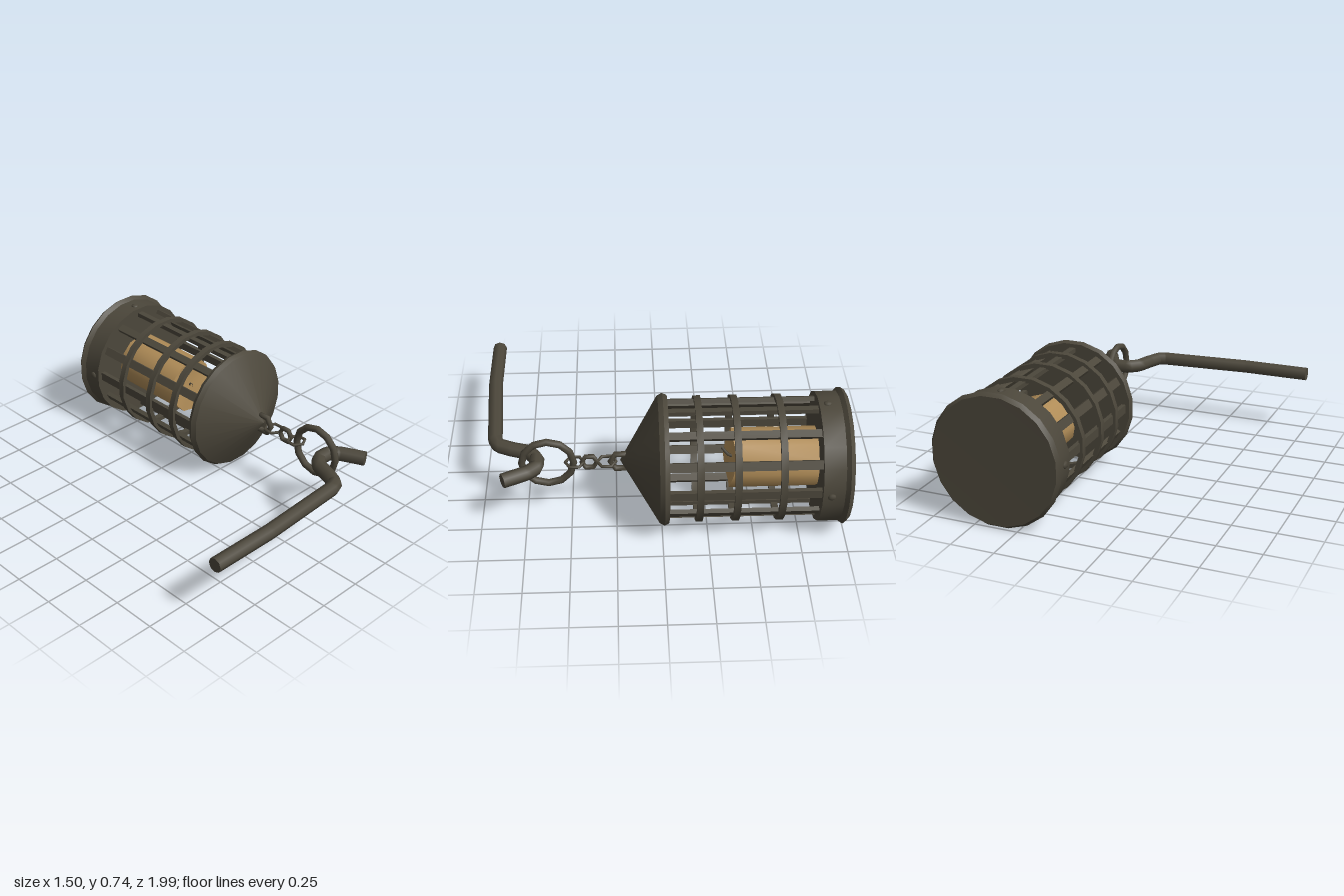
import * as THREE from 'three';
import { toCreasedNormals } from 'three/addons/utils/BufferGeometryUtils.js';

const SIDES = 20;
const AXIS = 0.373; // x and y of the lantern's axis

export function createModel() {
  const iron = new THREE.MeshStandardMaterial({ color: 0x4c473b });
  iron.name = 'dark iron';
  const wax = new THREE.MeshStandardMaterial({ color: 0xb18d58 });
  wax.name = 'tan wax';

  const model = new THREE.Group();
  model.name = 'hangingLantern';

  const add = (parent, name, geometry, material = iron) => {
    const mesh = new THREE.Mesh(geometry, material);
    mesh.name = name;
    parent.add(mesh);
    return mesh;
  };
  const lathe = (points) => toCreasedNormals(
    new THREE.LatheGeometry(points.map(([r, y]) => new THREE.Vector2(r, y)), SIDES, Math.PI / SIDES), 0.5);

  // Lantern is built upright, then laid down so its roof points to +z
  const lantern = new THREE.Group();
  lantern.name = 'lantern';
  lantern.position.set(AXIS, AXIS, 0);
  lantern.rotation.x = Math.PI / 2;
  model.add(lantern);

  add(lantern, 'base', lathe([
    [0, -0.995], [0.36, -1], [0.377, -0.977], [0.357, -0.955],
    [0.357, -0.838], [0.31, -0.838], [0, -0.85],
  ]));
  add(lantern, 'roof', lathe([
    [0, -0.035], [0.352, -0.035], [0.364, -0.01], [0.35, 0.017], [0, 0.225],
  ]));

  // Cage: upright bars and three hoops
  for (let i = 0; i < 12; i++) {
    const a = (i * Math.PI) / 6;
    const width = 0.036 + 0.014 * Math.abs(Math.sin(a));
    const bar = add(lantern, 'cageBar', new THREE.BoxGeometry(width, 0.82, 0.025));
    bar.position.set(Math.sin(a) * 0.314, -0.435, Math.cos(a) * 0.314);
    bar.rotation.y = a;
  }
  for (const y of [-0.635, -0.395, -0.197]) {
    add(lantern, 'cageHoop', lathe([
      [0.322, y - 0.018], [0.347, y - 0.018], [0.347, y + 0.018], [0.322, y + 0.018], [0.322, y - 0.018],
    ]));
  }

  // Four low studs around the base
  for (let i = 0; i < 4; i++) {
    const a = (i * Math.PI) / 2;
    const stud = add(lantern, 'baseStud', new THREE.SphereGeometry(0.022, 8, 6));
    stud.position.set(Math.sin(a) * 0.352, -0.885, Math.cos(a) * 0.352);
    stud.rotation.y = a;
    stud.scale.z = 0.5;
  }

  // Candle with a slanted, slightly uneven top
  const radius = 0.165;
  const candleShape = new THREE.CylinderGeometry(radius, radius, 0.47, 12);
  const p = candleShape.attributes.position;
  for (let i = 0; i < p.count; i++) {
    if (p.getY(i) < 0) continue;
    const x = p.getX(i), z = p.getZ(i);
    const r = Math.hypot(x, z) / radius;
    const lift = 0.08 * z - 0.05 * x + 0.01 * r * Math.sin(3 * Math.atan2(z, x));
    p.setY(i, p.getY(i) + lift - 0.012 * (1 - r));
  }
  candleShape.computeVertexNormals();
  add(lantern, 'candle', toCreasedNormals(candleShape, 0.6), wax).position.y = -0.61;
  const wickPath = new THREE.CatmullRomCurve3([
    new THREE.Vector3(0, -0.42, 0), new THREE.Vector3(-0.01, -0.37, -0.01), new THREE.Vector3(-0.045, -0.335, -0.035),
  ]);
  add(lantern, 'wick', new THREE.TubeGeometry(wickPath, 4, 0.009, 5));

  // Chain: links alternate between upright and flat
  const chain = new THREE.Group();
  chain.name = 'chain';
  model.add(chain);
  const link = (name, z, ringRadius, tube, sides, upright) => {
    const mesh = add(chain, name, new THREE.TorusGeometry(ringRadius, tube, 8, sides));
    mesh.position.set(0.376, 0.366, z);
    if (upright) mesh.rotation.y = Math.PI / 2;
    else mesh.rotation.set(Math.PI / 2, 0, Math.PI / 6);
  };
  link('roofEye', 0.222, 0.056, 0.017, 6, true);
  link('lowerLink', 0.298, 0.051, 0.009, 6, false);
  link('middleLink', 0.392, 0.042, 0.014, 6, true);
  link('upperLink', 0.473, 0.051, 0.009, 6, false);
  link('hangingRing', 0.62, 0.142, 0.02, 12, true);

  // Bracket: a straight rod ending in a hook
  const path = new THREE.CurvePath();
  const points = [
    [-0.75, 0.37, 0.954], [-0.36, 0.369, 0.953], [0.165, 0.365, 0.919], [0.212, 0.364, 0.9],
    [0.248, 0.363, 0.82], [0.278, 0.363, 0.728], [0.335, 0.363, 0.68], [0.41, 0.363, 0.68],
    [0.455, 0.363, 0.727], [0.518, 0.363, 0.858],
  ].map((c) => new THREE.Vector3(...c));
  for (let i = 1; i < points.length; i++) path.add(new THREE.LineCurve3(points[i - 1], points[i]));
  add(model, 'hookRod', new THREE.TubeGeometry(path, 80, 0.041, 8));

  // Closed rod ends
  const cap = (at, from) => {
    const mesh = add(model, 'rodEnd', new THREE.CircleGeometry(0.041, 8));
    mesh.position.copy(at);
    mesh.lookAt(at.clone().multiplyScalar(2).sub(from));
  };
  cap(points[0], points[1]);
  cap(points[points.length - 1], points[points.length - 2]);

  return model;
}
